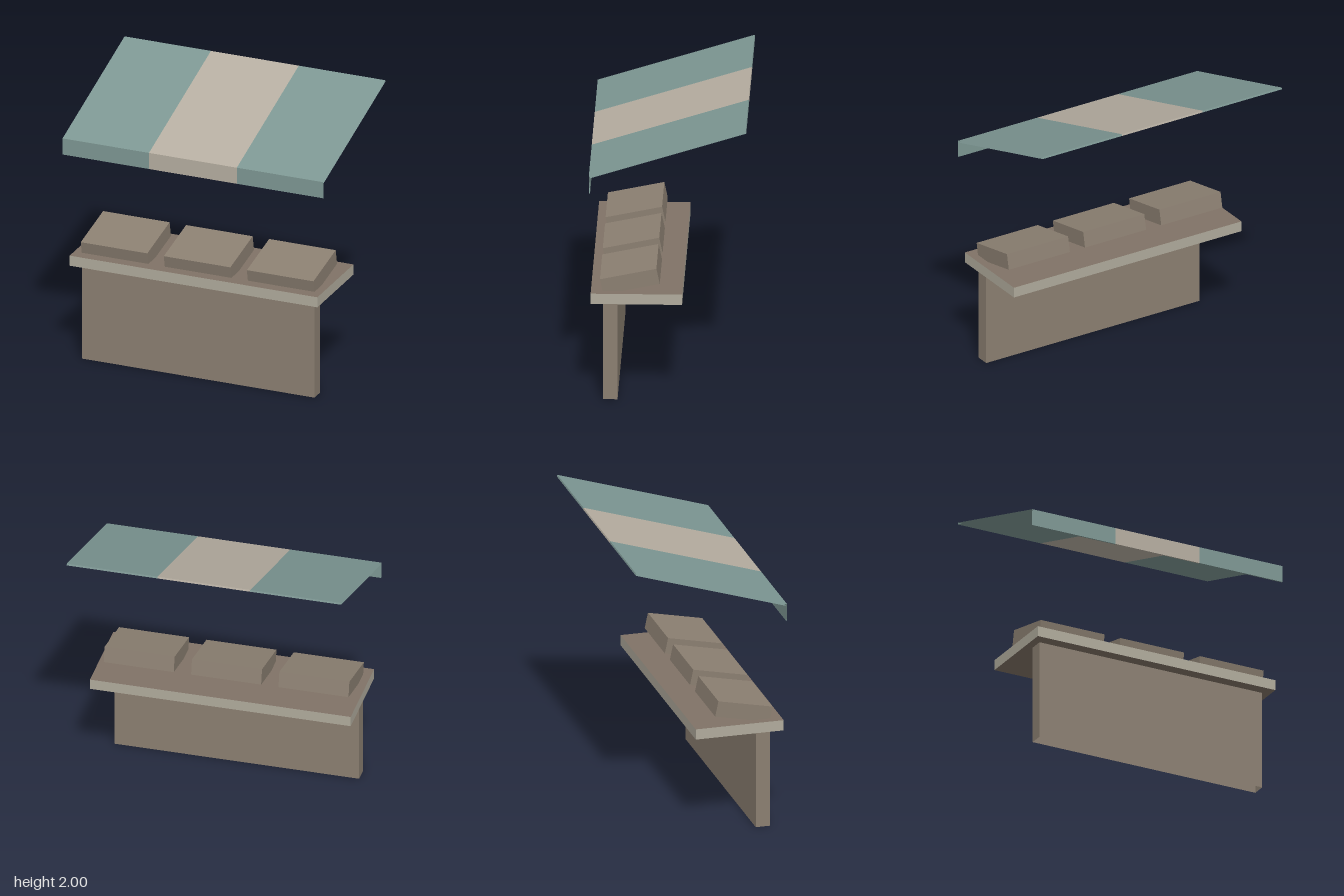
import * as THREE from 'three';

const mat = (name, color) => {
  const m = new THREE.MeshStandardMaterial({ color, side: THREE.DoubleSide });
  m.name = name;
  return m;
};

// Sweep a closed [z, y] profile along x, leaving the ends open
function openSweep(profile, x0, x1) {
  const pos = [];
  profile.forEach(([z, y], i) => {
    const [z2, y2] = profile[(i + 1) % profile.length];
    pos.push(x0, y, z, x0, y2, z2, x1, y2, z2);
    pos.push(x0, y, z, x1, y2, z2, x1, y, z);
  });
  const g = new THREE.BufferGeometry();
  g.setAttribute('position', new THREE.Float32BufferAttribute(pos, 3));
  g.computeVertexNormals();
  return g;
}

export function createModel() {
  const teal = mat('teal cloth', 0x7d9793);
  const beige = mat('beige cloth', 0xb6aea1);
  const brown = mat('brown wood', 0x8b7f71);
  const topBrown = mat('counter top brown', 0x807266);
  const trim = mat('pale counter edge', 0xb0ab9c);

  const group = new THREE.Group();
  const add = (name, geometry, material, x = 0, y = 0, z = 0) => {
    const mesh = new THREE.Mesh(geometry, material);
    mesh.name = name;
    mesh.position.set(x, y, z);
    group.add(mesh);
    return mesh;
  };

  // Front wall of the stall, open underneath
  const wall = new THREE.BoxGeometry(1.735, 0.715, 0.1);
  const faces = Array.from(wall.index.array);
  faces.splice(18, 6);
  wall.setIndex(faces);
  wall.clearGroups();
  add('frontWall', wall, brown, 0, 0.3575, 0.387);

  // Counter board with a pale edge all round
  add('counter', new THREE.BoxGeometry(1.85, 0.075, 0.628),
    [trim, trim, topBrown, topBrown, trim, trim], 0, 0.7525, 0.206);

  // Three display boxes tilted towards the front
  for (const x of [-0.62, 0, 0.62]) {
    const box = add('displayBox', new THREE.BoxGeometry(0.497, 0.113, 0.396), brown, x, 0.8605, 0.2525);
    box.rotation.x = 0.206;
  }

  // Sloping awning with a hanging front flap, in three striped panels
  const awning = [
    [-0.546, 2.0], [0.531, 1.66], [0.531, 1.54],
    [0.522, 1.54], [0.522, 1.65], [-0.55, 1.988],
  ];
  const edges = [-0.973, -0.328, 0.328, 0.973];
  [teal, beige, teal].forEach((m, i) => {
    add('awningPanel', openSweep(awning, edges[i], edges[i + 1]), m);
  });

  return group;
}
